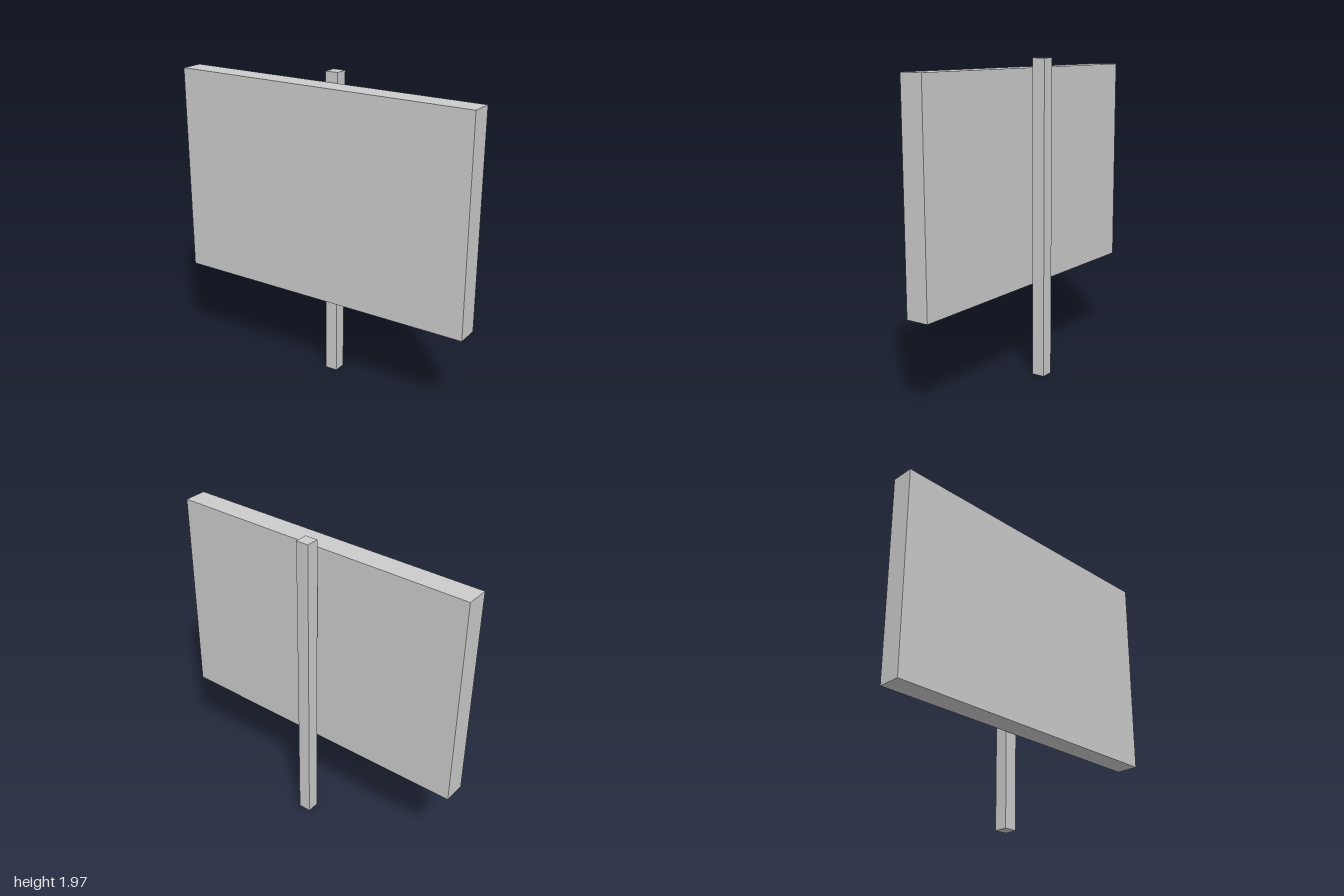
import * as THREE from 'three';

const material = new THREE.MeshStandardMaterial({ color: 0xcccccc, flatShading: true });

// Box given by its minimum and maximum corners
function box(name, [x0, y0, z0], [x1, y1, z1]) {
  const mesh = new THREE.Mesh(new THREE.BoxGeometry(x1 - x0, y1 - y0, z1 - z0), material);
  mesh.name = name;
  mesh.position.set((x0 + x1) / 2, (y0 + y1) / 2, (z0 + z1) / 2);
  return mesh;
}

export function createModel() {
  const sign = new THREE.Group();
  sign.name = 'sign';
  // Wide panel in front, slim post standing just behind it
  sign.add(box('panel', [-1, 0.577, -0.02], [1, 1.91, 0.126]));
  sign.add(box('post', [-0.041, 0, -0.126], [0.041, 1.968, -0.043]));
  return sign;
}
